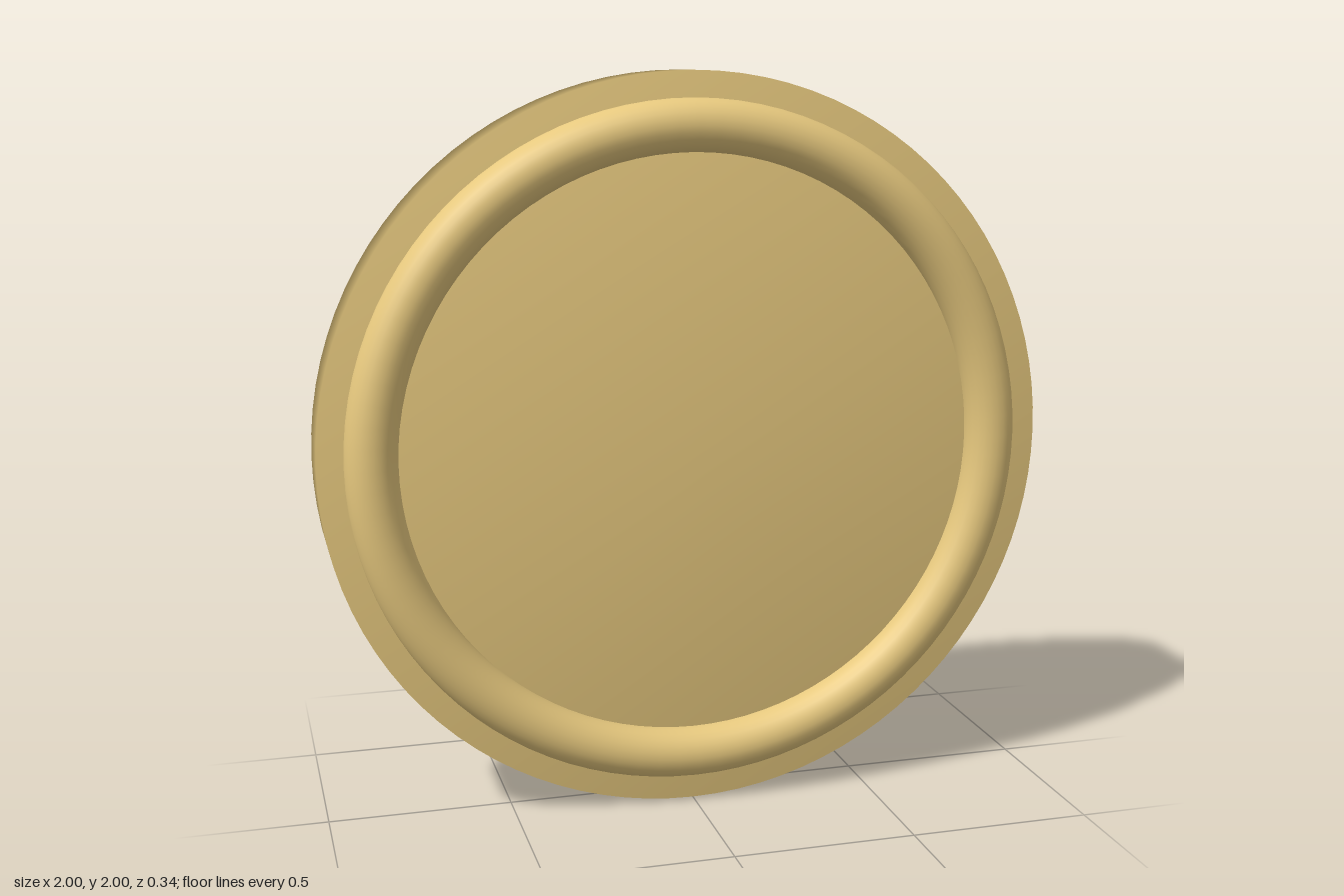
import * as THREE from 'three';

const gold = new THREE.MeshStandardMaterial({ color: 0xe6c87e });
const amber = new THREE.MeshStandardMaterial({ color: 0xdba251, flatShading: true });

const FRONT = 0.095; // z of the front face
const BACK = -0.065; // z of the back face

export function createModel() {
  const model = new THREE.Group();
  const add = (name, geometry, material, z = 0) => {
    const mesh = new THREE.Mesh(geometry, material);
    mesh.name = name;
    mesh.position.set(0, 1, z);
    model.add(mesh);
  };

  // Round plate, smooth-shaded across its rim so the faces look domed
  const profile = [[0, BACK], [1, BACK], [1, FRONT], [0, FRONT]]
    .map(([r, z]) => new THREE.Vector2(r, z));
  add('plate', new THREE.LatheGeometry(profile, 96).rotateX(Math.PI / 2), gold);

  // Raised ring on each face
  const ring = new THREE.TorusGeometry(0.86, 0.07, 24, 96);
  add('frontRing', ring, gold, FRONT);
  add('backRing', ring, gold, BACK);

  // Flattened faceted gem on the back, one corner pointing straight out
  const gem = new THREE.IcosahedronGeometry(1, 0)
    .rotateX(Math.atan(2 / (1 + Math.sqrt(5))))
    .rotateZ(-Math.PI / 2)
    .scale(0.336, 0.336, 0.09);
  add('backGem', gem, amber, -0.08);

  return model;
}
